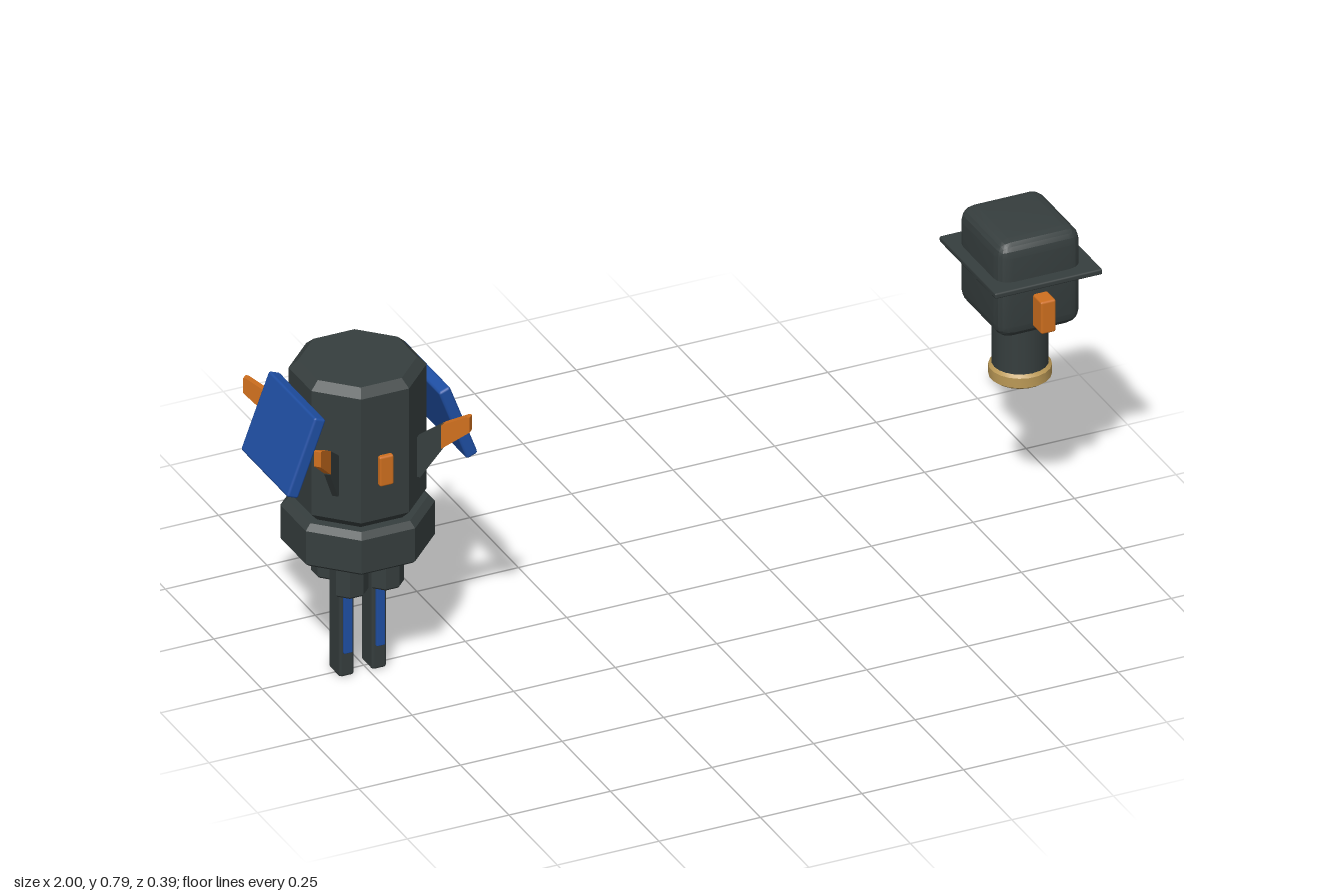
import * as THREE from 'three';
import { RoundedBoxGeometry } from 'three/addons/geometries/RoundedBoxGeometry.js';
import { toCreasedNormals } from 'three/addons/utils/BufferGeometryUtils.js';

const paint = (name, color) => {
  const m = new THREE.MeshStandardMaterial({ color });
  m.name = name;
  return m;
};

export function createModel() {
  const charcoal = paint('charcoal', 0x363e3e);
  const blue = paint('blue', 0x1f4fa4);
  const orange = paint('orange', 0xd0701f);
  const gold = paint('gold', 0xbb9956);

  const add = (parent, name, geo, mat, x = 0, y = 0, z = 0) => {
    const mesh = new THREE.Mesh(geo, mat);
    mesh.name = name;
    mesh.position.set(x, y, z);
    parent.add(mesh);
    return mesh;
  };
  // box with chamfered edges
  const box = (w, h, d, r = 0.005, seg = 1) => new RoundedBoxGeometry(w, h, d, seg, r);
  // profile [radius, y] from bottom to top; an octagon is given by its flat-to-centre radius
  const turned = (profile, sides) => {
    const k = sides === 8 ? 1 / Math.cos(Math.PI / 8) : 1;
    const geo = new THREE.LatheGeometry(profile.map(([r, y]) => new THREE.Vector2(r * k, y)), sides);
    geo.rotateY(Math.PI / sides);
    return toCreasedNormals(geo, 0.45);
  };
  // flat plate drawn as [radius, y], centred on its thickness
  const plate = (points, t) => {
    const shape = new THREE.Shape(points.map(([r, y]) => new THREE.Vector2(r, y)));
    return new THREE.ExtrudeGeometry(shape, { depth: t, bevelEnabled: false }).translate(0, 0, -t / 2);
  };

  const model = new THREE.Group();
  model.name = 'model';

  // ---- large unit ----
  const large = new THREE.Group();
  large.name = 'largeUnit';
  large.position.x = -0.765;
  model.add(large);

  add(large, 'body', turned([[0, 0.43], [0.122, 0.43], [0.142, 0.452], [0.142, 0.768], [0.122, 0.787], [0, 0.787]], 8), charcoal);
  add(large, 'collar', turned([[0, 0.326], [0.15, 0.326], [0.159, 0.334], [0.159, 0.418], [0.145, 0.432], [0, 0.432]], 8), charcoal);
  add(large, 'baseRing', turned([[0.07, 0.326], [0.07, 0.3], [0.097, 0.298], [0.104, 0.305], [0.104, 0.326]], 24), orange);
  add(large, 'basePlate', new THREE.CylinderGeometry(0.072, 0.072, 0.02, 24), charcoal, 0, 0.317, 0);
  add(large, 'frontMarker', box(0.035, 0.076, 0.04), orange, 0, 0.577, 0.133);

  // four stubby octagonal nozzles
  const nozzle = turned([[0, 0.23], [0.036, 0.23], [0.04, 0.235], [0.04, 0.315], [0, 0.315]], 8);
  for (const x of [-0.044, 0.044])
    for (const z of [-0.048, 0.048]) add(large, 'nozzle', nozzle, charcoal, x, 0, z);

  for (const s of [-1, 1]) {
    // prong with an inlaid front strip
    add(large, 'prong', box(0.037, 0.317, 0.06, 0.007), charcoal, s * 0.04, 0.1585, 0);
    add(large, 'prongStrip', box(0.021, 0.185, 0.009, 0.002), blue, s * 0.04, 0.155, 0.033);
    // tilted side panel
    const panel = add(large, 'sidePanel', box(0.03, 0.198, 0.242, 0.006), blue, s * 0.187, 0.642, 0.009);
    panel.rotation.z = s * 0.36;
  }

  // diagonal struts carrying upswept fins
  const strut = plate([[0.135, 0.515], [0.15, 0.515], [0.203, 0.598], [0.203, 0.66], [0.135, 0.61]], 0.014);
  const fin = plate([[0.2, 0.598], [0.267, 0.652], [0.267, 0.69], [0.26, 0.69], [0.2, 0.658]], 0.016);
  for (let i = 0; i < 4; i++) {
    const arm = new THREE.Group();
    arm.name = 'finArm';
    arm.rotation.y = Math.PI / 4 + i * Math.PI / 2;
    large.add(arm);
    add(arm, 'strut', strut, charcoal);
    add(arm, 'fin', fin, orange);
  }

  // ---- small unit ----
  const small = new THREE.Group();
  small.name = 'smallUnit';
  small.position.x = 0.866;
  model.add(small);

  add(small, 'head', toCreasedNormals(box(0.206, 0.245, 0.228, 0.035, 2), 0.3), charcoal, 0, 0.632, 0);
  add(small, 'flange', box(0.264, 0.014, 0.292, 0.004), charcoal, 0.002, 0.653, 0);
  add(small, 'frontMarker', box(0.037, 0.082, 0.05), orange, -0.004, 0.576, 0.132);
  add(small, 'stem', new THREE.CylinderGeometry(0.064, 0.064, 0.155, 20), charcoal, 0, 0.4375, 0);
  add(small, 'stemRing', turned([[0.048, 0.375], [0.048, 0.347], [0.062, 0.347], [0.071, 0.354], [0.071, 0.378], [0.064, 0.385]], 20), gold);

  return model;
}
